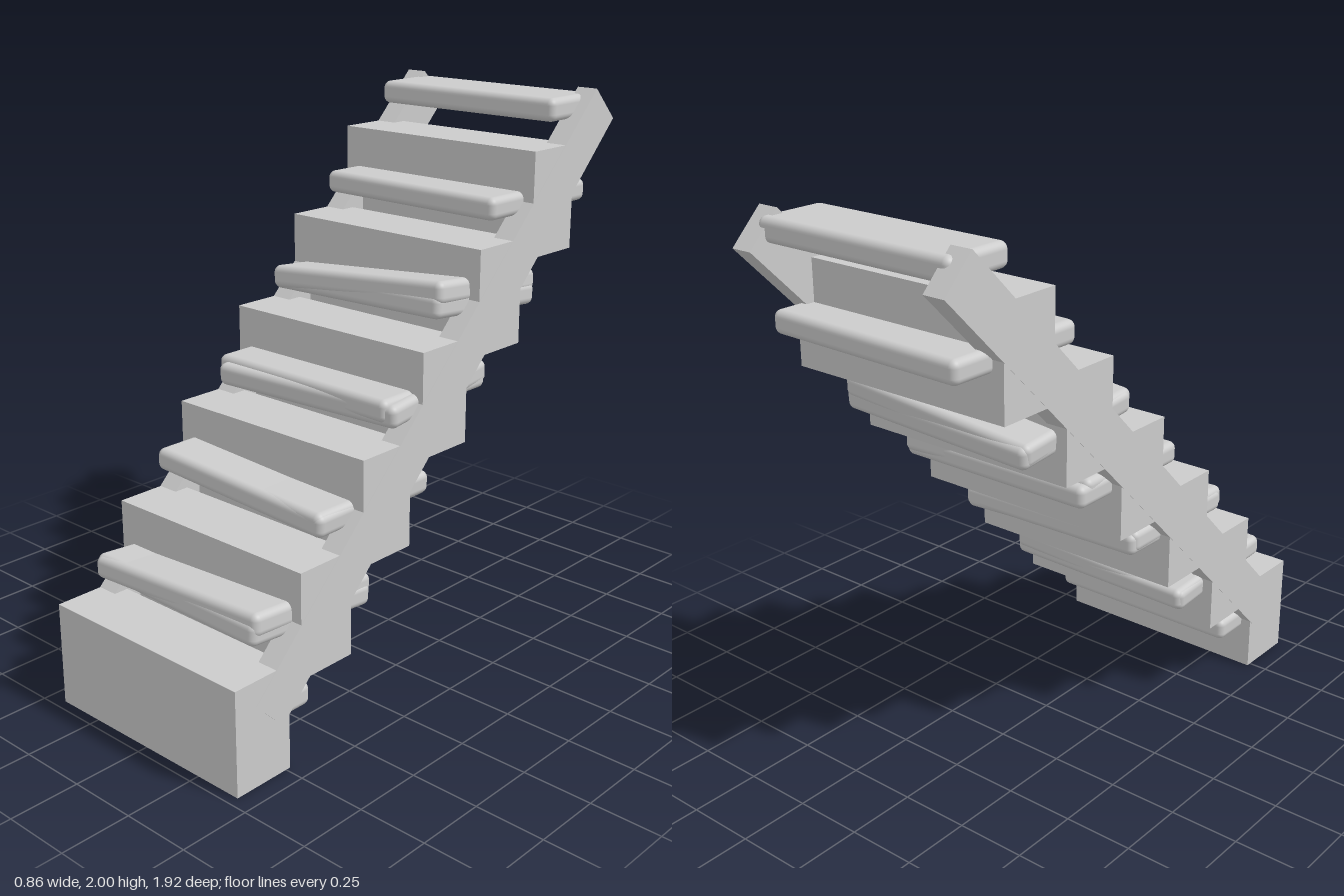
import * as THREE from 'three';
import { RoundedBoxGeometry } from 'three/addons/geometries/RoundedBoxGeometry.js';

const material = new THREE.MeshStandardMaterial({ color: 0xcccccc });

export function createModel() {
  const model = new THREE.Group();

  const add = (name, geometry, x, y, z, rx = 0, ry = 0, rz = 0) => {
    const mesh = new THREE.Mesh(geometry, material);
    mesh.name = name;
    mesh.position.set(x, y, z);
    mesh.rotation.set(rx, ry, rz);
    model.add(mesh);
  };

  // Six step blocks climbing towards the back
  const rise = 0.29;
  const block = new THREE.BoxGeometry(0.86, 0.372, 0.232);
  for (let i = 0; i < 6; i++) {
    add('stepBlock', block, 0, 0.186 + rise * i, 0.848 - rise * i);
  }

  // Two sloping side beams, sunk into the blocks
  const beam = new THREE.BoxGeometry(0.08, 0.163, 2.43);
  for (const side of [-1, 1]) {
    add(side > 0 ? 'leftBeam' : 'rightBeam', beam, side * 0.391, 1.083, -0.04, Math.PI / 4);
  }

  // Short planks at the foot and the head
  const shortPlank = new RoundedBoxGeometry(0.78, 0.082, 0.26, 4, 0.025);
  add('bottomPlank', shortPlank, 0, 0.195, 0.72);
  add('topPlank', shortPlank, 0, 1.938, -0.765);

  // Worn tread planks, some doubled: [x, y, z, pitch, yaw, roll]
  const plank = new RoundedBoxGeometry(0.78, 0.08, 0.54, 4, 0.025);
  const treads = [
    [0, 0.48, 0.565, -0.075, 0, 0.05],
    [0, 0.467, 0.565, -0.075, -0.02, 0],
    [0, 0.772, 0.275, 0, 0, -0.05],
    [0, 0.77, 0.268, 0, -0.02, -0.03],
    [0, 1.06, -0.03, 0, 0, 0],
    [0.015, 1.06, -0.018, 0.07, 0.06, 0],
    [0, 1.345, -0.305, -0.09, 0, 0.09],
    [0, 1.318, -0.305, -0.09, -0.02, 0.03],
    [0, 1.638, -0.595, 0, -0.025, 0],
  ];
  for (const t of treads) add('treadPlank', plank, ...t);

  return model;
}
